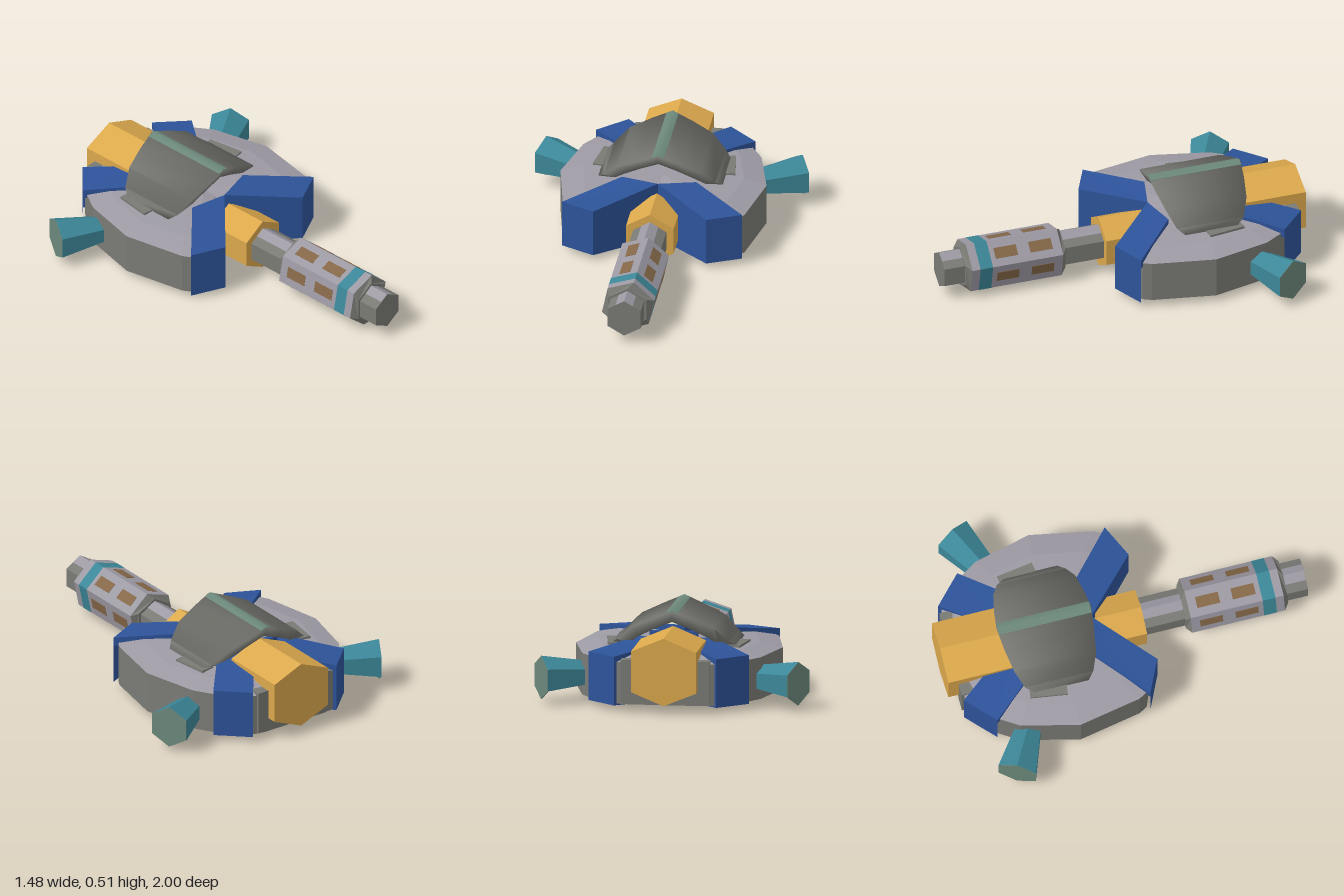
import * as THREE from 'three';
import { toCreasedNormals } from 'three/addons/utils/BufferGeometryUtils.js';

const mat = (name, color) => new THREE.MeshStandardMaterial({ name, color, side: THREE.DoubleSide });

// Skin through a list of equal-length sections; closed ones wrap round, caps fill both ends
function loft(sections, { caps = true, closed = true } = {}) {
  const pos = [];
  const tri = (a, b, c) => pos.push(...a, ...b, ...c);
  const n = sections[0].length;
  for (let s = 0; s < sections.length - 1; s++) {
    for (let i = 0; i < (closed ? n : n - 1); i++) {
      const j = (i + 1) % n, p = sections[s], q = sections[s + 1];
      tri(p[i], p[j], q[j]);
      tri(p[i], q[j], q[i]);
    }
  }
  if (caps && closed) {
    const a = sections[0], b = sections[sections.length - 1];
    for (let i = 1; i < n - 1; i++) {
      tri(a[0], a[i + 1], a[i]);
      tri(b[0], b[i], b[i + 1]);
    }
  }
  const g = new THREE.BufferGeometry();
  g.setAttribute('position', new THREE.Float32BufferAttribute(pos, 3));
  g.computeVertexNormals();
  return g;
}
const tube = sections => loft(sections, { caps: false });
const sheet = sections => loft(sections, { closed: false });

// Hexagonal section across z; turn is the angle of the first corner from straight up
function hex(z, cy, r, turn = 0) {
  return Array.from({ length: 6 }, (_, i) => {
    const a = turn - i * Math.PI / 3;
    return [Math.sin(a) * r, cy + Math.cos(a) * r, z];
  });
}

export function createModel() {
  const root = new THREE.Group();
  root.name = 'turret';
  const blue = mat('blue armour', 0x2d5399), gold = mat('gold', 0xdba84c), grey = mat('grey', 0x7a7a75),
    pale = mat('pale grey', 0x9d9aa4), teal = mat('teal', 0x3c8798), brown = mat('brown', 0x856848),
    green = mat('grey green', 0x6c887b);
  const add = (name, geo, m, parent = root) => {
    const mesh = new THREE.Mesh(geo, m);
    mesh.name = name;
    parent.add(mesh);
    return mesh;
  };

  // Hull: upright wall and sloping deck, open underneath; its front lines the legs
  const half = [[0, -0.195], [0.3, 0.085], [0.465, 0.015], [0.49, -0.03], [0.555, -0.37],
    [0.48, -0.68], [0.41, -0.79], [0.28, -0.92], [0.2, -0.94]];
  const plan = [...half, ...half.map(([x, z]) => [-x, z]).reverse()];
  const ring = (y, k) => plan.map(([x, z]) => [x * k, y, -0.42 + (z + 0.42) * k]);
  add('hullWall', tube([ring(0.045, 1), ring(0.27, 1)]), grey);
  add('hullDeck', tube([ring(0.27, 1), ring(0.3, 0.78), ring(0.315, 0.4), ring(0.315, 0.01)]), pale);

  // Four diagonal armour legs: sheets folded over the hull, meeting in a V
  const legs = [
    { name: 'frontLeg', out: [[0.485, 0.03], [0.305, 0.115]], inn: [[0.2, -0.22], [0, -0.17]] },
    { name: 'rearLeg', out: [[0.43, -0.795], [0.275, -0.94]], inn: [[0.2, -0.52], [0, -0.58]] }];
  for (const side of [1, -1]) {
    for (const { name, out, inn } of legs) {
      const fold = ([a, b], top, bottom) => [
        [a[0] * side, 0.25, a[1]], [a[0] * side, top, a[1]],
        [b[0] * side, top, b[1]], [b[0] * side, bottom, b[1]]];
      const edge = y => out.map(([x, z]) => [x * side, y, z]);
      add(name, sheet([fold(out, 0.3, 0.037), fold(inn, 0.342, 0.015)]), blue);
      add(name + 'End', sheet([edge(0.3), edge(0.037)]), blue);
    }

    // Grey collar beside the canopy foot, and a pad beside the engine
    const collar = add('canopyCollar', new THREE.BoxGeometry(0.08, 0.05, 0.2), grey);
    collar.position.set(0.33 * side, 0.29, -0.49);
    collar.rotation.y = 0.15 * side;
    add('rearPad', new THREE.BoxGeometry(0.07, 0.235, 0.08), grey).position.set(0.205 * side, 0.167, -0.902);

    // Flared side thruster, angled backwards and open along its underside
    const thruster = new THREE.Group();
    thruster.name = 'sideThruster';
    thruster.position.set(0.43 * side, 0.145, -0.615);
    thruster.rotation.y = side * (Math.PI / 2 + 0.49);
    const hood = (z, r) => {
      const p = hex(z, 0, r);
      return [4, 5, 0, 1, 2].map(i => p[i]);
    };
    add('thrusterHood', sheet([hood(0, 0.07), hood(0.295, 0.118)]), teal, thruster);
    add('thrusterLens', loft([hex(0.291, 0, 0.117), hex(0.296, 0, 0.117)]), green, thruster);
    root.add(thruster);
  }

  // Smooth arched canopy, open at front and back, its rims undercut
  const arch = [[0.335, 0.312, 0.27, 0.29, -0.27, -0.56], [0.3, 0.338, 0.245, 0.31, -0.235, -0.61],
    [0.225, 0.41, 0.19, 0.355, -0.2, -0.65], [0.11, 0.462, 0.095, 0.405, -0.182, -0.675]];
  const slice = ([x, y, ix, iy, zf, zb], s, cut) =>
    [[x * s, y, zf], [x * s, y, zb], [ix * s, iy, zb + cut], [ix * s, iy, zf - cut]];
  const canopy = [...arch.map(a => slice(a, 1, 0.03)), slice([0, 0.508, 0, 0.445, -0.17, -0.69], 1, 0.03),
    ...arch.map(a => slice(a, -1, 0.03)).reverse()];
  add('canopy', toCreasedNormals(loft(canopy), 2.2), grey);
  const stripe = [-0.033, 0, 0.033].map(x => {
    const y = 0.5095 - Math.abs(x) * 0.42;
    return slice([x, y, x, y - 0.004, -0.175, -0.685], 1, 0);
  });
  add('canopyStripe', toCreasedNormals(loft(stripe), 1), green);

  // Gold engine block at the rear, with a blue frame before it
  const engine = z => [[0, 0.415, z], [0.175, 0.342, z], [0.175, 0.122, z], [0, 0.05, z], [-0.175, 0.122, z], [-0.175, 0.342, z]];
  add('rearEngine', loft([engine(-1), engine(-0.61)]), gold);
  add('engineFrame', new THREE.BoxGeometry(0.26, 0.02, 0.03), blue).position.set(0, 0.375, -0.59);
  for (const x of [-0.12, 0, 0.12])
    add('engineFramePost', new THREE.BoxGeometry(x ? 0.02 : 0.07, 0.06, 0.03), blue).position.set(x, 0.345, -0.59);

  // Gun: gold mount and breech, grey core and pale hexagonal sleeve
  const cy = 0.152;
  add('barrelMount', loft([hex(-0.14, cy, 0.148), hex(0.105, cy, 0.148)]), gold);
  add('barrelBreech', new THREE.BoxGeometry(0.256, 0.15, 0.15), gold).position.set(0, cy, -0.205);
  add('barrelCore', loft([hex(0, cy, 0.103), hex(1, cy, 0.103)]), grey);
  for (const [z0, z1] of [[0.1, 0.33], [0.88, 0.999]]) {
    const rib = z => [[-0.046, 0.23, z], [0, 0.257, z], [0.046, 0.23, z], [0, 0.252, z]];
    add('barrelRib', loft([rib(z0), rib(z1)]), pale);
  }
  const turn = 12 * Math.PI / 180, R = 0.148;
  const sleeve = (z, r) => hex(z, cy, r, turn);
  add('barrelSleeve', tube([sleeve(0.35, R), sleeve(0.86, R)]), pale);
  add('sleeveFrontBevel', loft([sleeve(0.86, R), hex(0.885, cy, 0.118)]), grey);
  add('sleeveRearBevel', loft([sleeve(0.35, R), hex(0.325, cy, 0.118)]), grey);
  add('sleeveBand', tube([sleeve(0.745, R + 0.001), sleeve(0.815, R + 0.001)]), teal);

  // Brown vents, two on each sleeve face
  for (let i = 0; i < 6; i++) {
    const a = turn + (i + 0.5) * Math.PI / 3, d = R * Math.cos(Math.PI / 6);
    for (const z of [0.46, 0.655]) {
      const vent = add('sleeveVent', new THREE.BoxGeometry(0.06, 0.004, 0.125), brown);
      vent.position.set(Math.sin(a) * d, cy + Math.cos(a) * d, z);
      vent.rotation.z = -a;
    }
  }
  return root;
}
